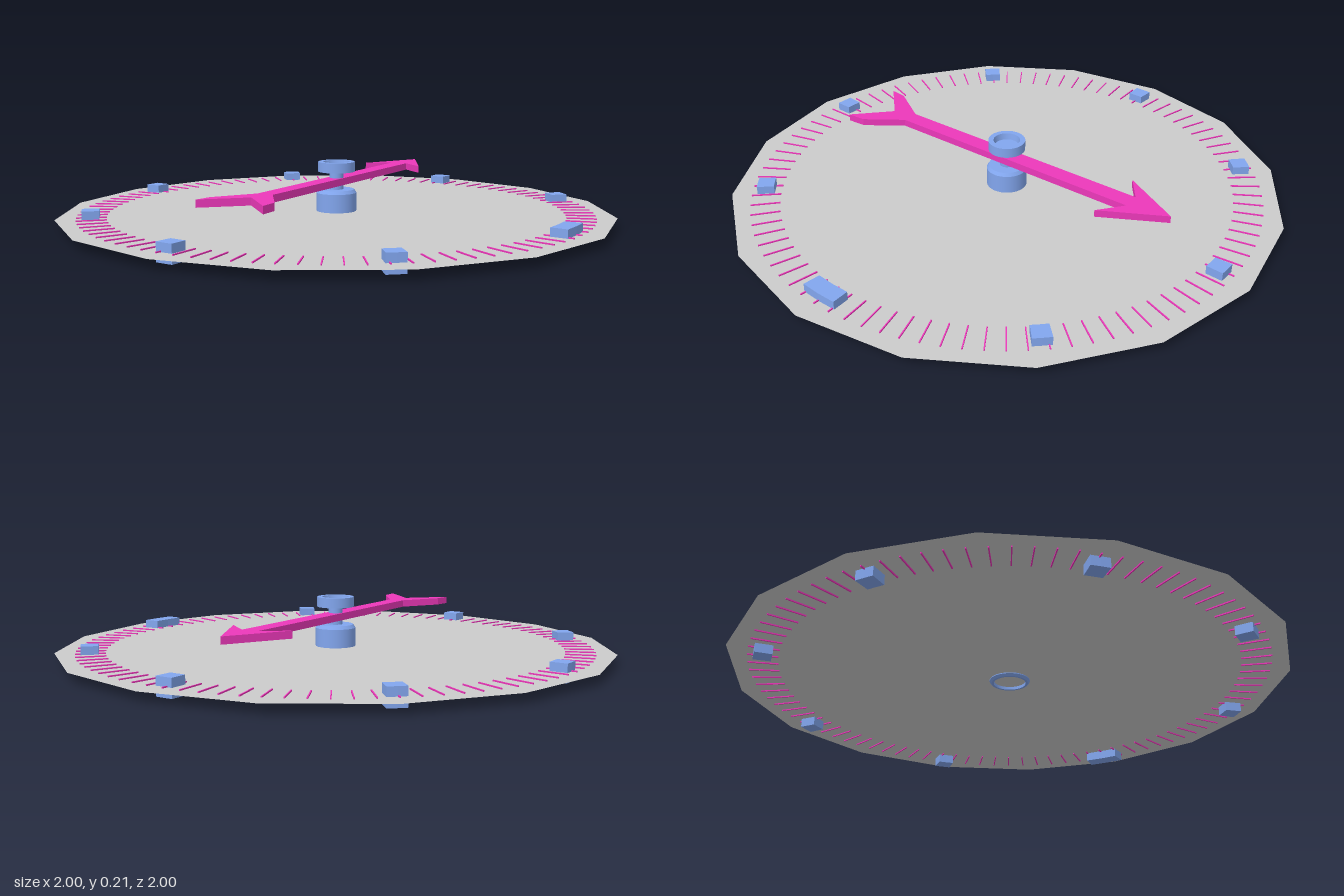
import * as THREE from 'three';

const grey = new THREE.MeshStandardMaterial({ color: 0xcccccc, side: THREE.DoubleSide });
const blue = new THREE.MeshStandardMaterial({ color: 0x82a6ee, side: THREE.DoubleSide });
const pink = new THREE.MeshStandardMaterial({ color: 0xec38ba });
const DISC_Y = 0.033;
const rad = THREE.MathUtils.degToRad;

function add(parent, name, geometry, material) {
  const mesh = new THREE.Mesh(geometry, material);
  mesh.name = name;
  parent.add(mesh);
  return mesh;
}

// Extrude an outline drawn in plan (x, -z) upward from y0
function slab(points, y0, height) {
  const shape = new THREE.Shape(points.map(([x, y]) => new THREE.Vector2(x, y)));
  return new THREE.ExtrudeGeometry(shape, { depth: height, bevelEnabled: false })
    .rotateX(-Math.PI / 2).translate(0, y0, 0);
}

// Short block following the rim: an annular sector
function sector(centreDeg, spanDeg, inner, outer) {
  const points = [];
  for (const [r, dir] of [[outer, 1], [inner, -1]]) {
    for (let i = -1; i <= 1; i++) {
      const a = rad(centreDeg + dir * i * spanDeg / 2);
      points.push([r * Math.cos(a), r * Math.sin(a)]);
    }
  }
  return slab(points, 0, 0.063);
}

// Lathe with hard edges: one smooth band per profile segment
function turned(parent, name, profile) {
  const group = new THREE.Group();
  group.name = name;
  for (let i = 0; i < profile.length - 1; i++) {
    const pair = [profile[i], profile[i + 1]].map(([r, y]) => new THREE.Vector2(r, y));
    add(group, name + 'Band', new THREE.LatheGeometry(pair, 32), blue);
  }
  parent.add(group);
}

export function createModel() {
  const model = new THREE.Group();
  model.name = 'compass';

  // Flat sixteen-sided dial
  add(model, 'dial', new THREE.CircleGeometry(1, 16).rotateX(-Math.PI / 2).translate(0, DISC_Y, 0), grey);

  // Degree marks passing through the dial
  const marks = new THREE.Group();
  marks.name = 'degreeMarks';
  const markGeometry = new THREE.BoxGeometry(0.105, 0.009, 0.004).translate(0.875, DISC_Y, 0);
  for (let i = 0; i < 90; i++) {
    add(marks, 'degreeMark', markGeometry, pink).rotation.y = rad(i * 4);
  }
  model.add(marks);

  // Direction blocks around the rim, the one on the +x side wider
  const blocks = new THREE.Group();
  blocks.name = 'directionBlocks';
  for (const [angle, span] of [[0, 8.8], [46.7, 4], [91.2, 4], [135.8, 4], [180, 4], [224.2, 4], [268.8, 4], [313.3, 4]]) {
    add(blocks, 'directionBlock', sector(angle, span, 0.847, 0.908), blue);
  }
  model.add(blocks);

  // Pivot: hollow base, stem and recessed cap
  turned(model, 'pivotBase', [[0.058, 0.034], [0.058, 0.022], [0.066, 0.022], [0.073, 0.03], [0.073, 0.1], [0.065, 0.112], [0, 0.112]]);
  turned(model, 'pivotStem', [[0.025, 0.112], [0.025, 0.18]]);
  turned(model, 'pivotCap', [[0, 0.177], [0.067, 0.177], [0.067, 0.213], [0.048, 0.213], [0.044, 0.19], [0, 0.19]]);

  // Arrow-shaped needle with a forked tail
  add(model, 'needle', slab([
    [-0.037, 0.675], [-0.145, 0.45], [-0.06, 0.52], [-0.005, -0.47],
    [-0.085, -0.615], [-0.09, -0.68], [0.03, -0.55], [0.163, -0.665],
    [0.155, -0.595], [0.055, -0.468], [0.003, 0.525], [0.095, 0.46],
  ], 0.128, 0.026), pink);

  return model;
}
